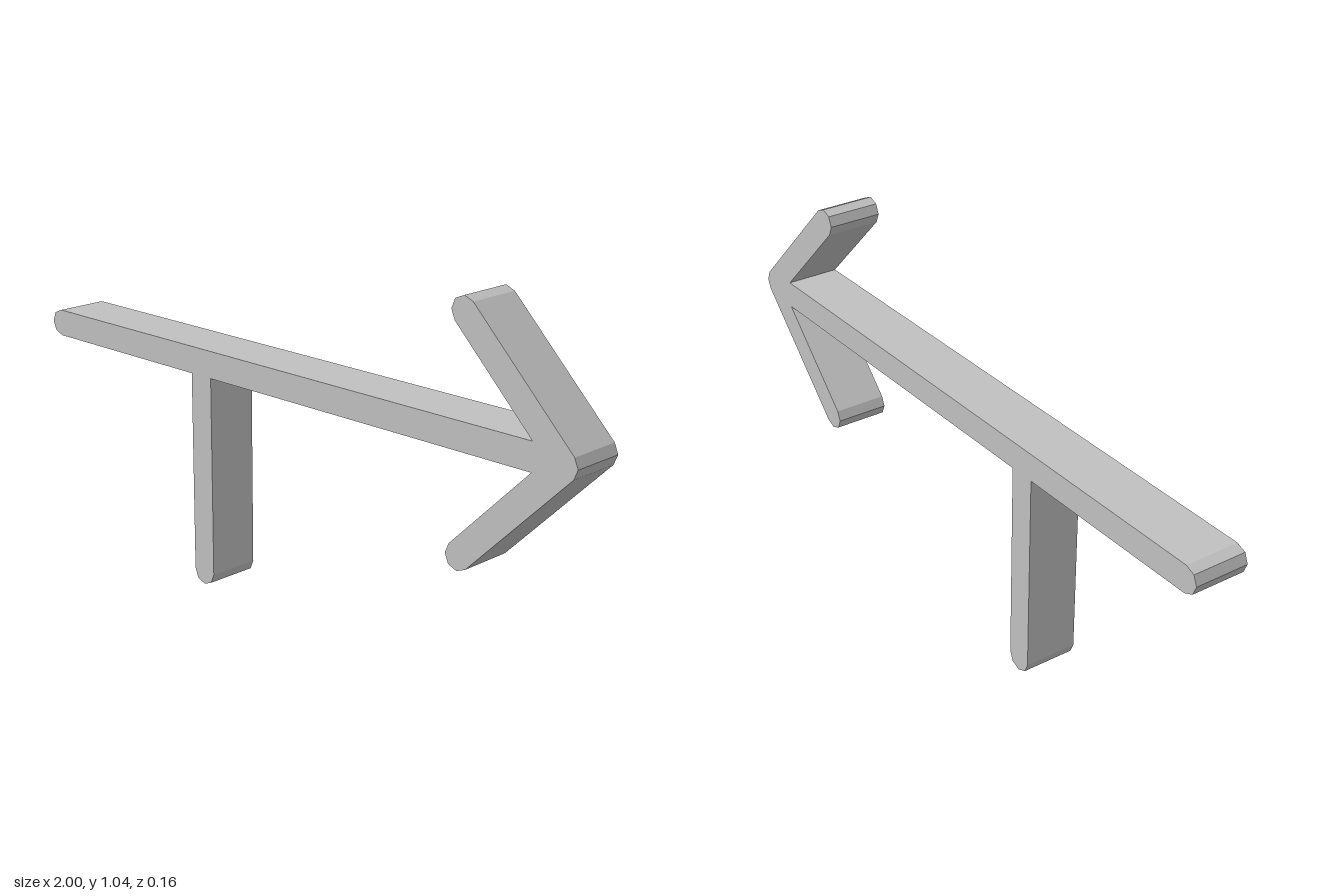
import * as THREE from 'three';

const R = 0.04; // half the bar width
const DEPTH = 0.16;
const STEP = Math.PI / 4; // facet angle of the rounded ends

// Points of a faceted round end, counter-clockwise, from step a to step b
function cap(x, y, a, b) {
  const points = [];
  for (let i = a; i <= b; i++) {
    points.push(new THREE.Vector2(x + R * Math.cos(i * STEP), y + R * Math.sin(i * STEP)));
  }
  return points;
}

export function createModel() {
  const model = new THREE.Group();
  model.name = 'arrowSign';
  const grey = new THREE.MeshStandardMaterial({ color: 0xc0c0c0 });
  grey.name = 'light grey';

  const barY = 0.68, postX = -0.32, tipX = 0.96, barb = 0.32;
  // Where the inside of each barb meets the shaft
  const innerX = tipX - R - R * (Math.SQRT2 - 1) - R;
  const notchX = innerX + R * (1 - (Math.SQRT2 - 1)) - R * (2 - Math.SQRT2);

  // One continuous outline: post, lower barb, tip, upper barb, shaft end
  const outline = [
    ...cap(postX, R, 4, 8),
    new THREE.Vector2(postX + R, barY - R),
    new THREE.Vector2(notchX, barY - R),
    ...cap(tipX - barb, barY - barb, 3, 7),
    ...cap(tipX, barY, -1, 1),
    ...cap(tipX - barb, barY + barb, 1, 5),
    new THREE.Vector2(notchX, barY + R),
    ...cap(-0.96, barY, 2, 6),
    new THREE.Vector2(postX - R, barY - R),
  ];

  const geometry = new THREE.ExtrudeGeometry(new THREE.Shape(outline), {
    depth: DEPTH,
    bevelEnabled: false,
  });
  geometry.translate(0, 0, -DEPTH / 2);
  const arrow = new THREE.Mesh(geometry, grey);
  arrow.name = 'arrowWithPost';
  model.add(arrow);
  return model;
}
